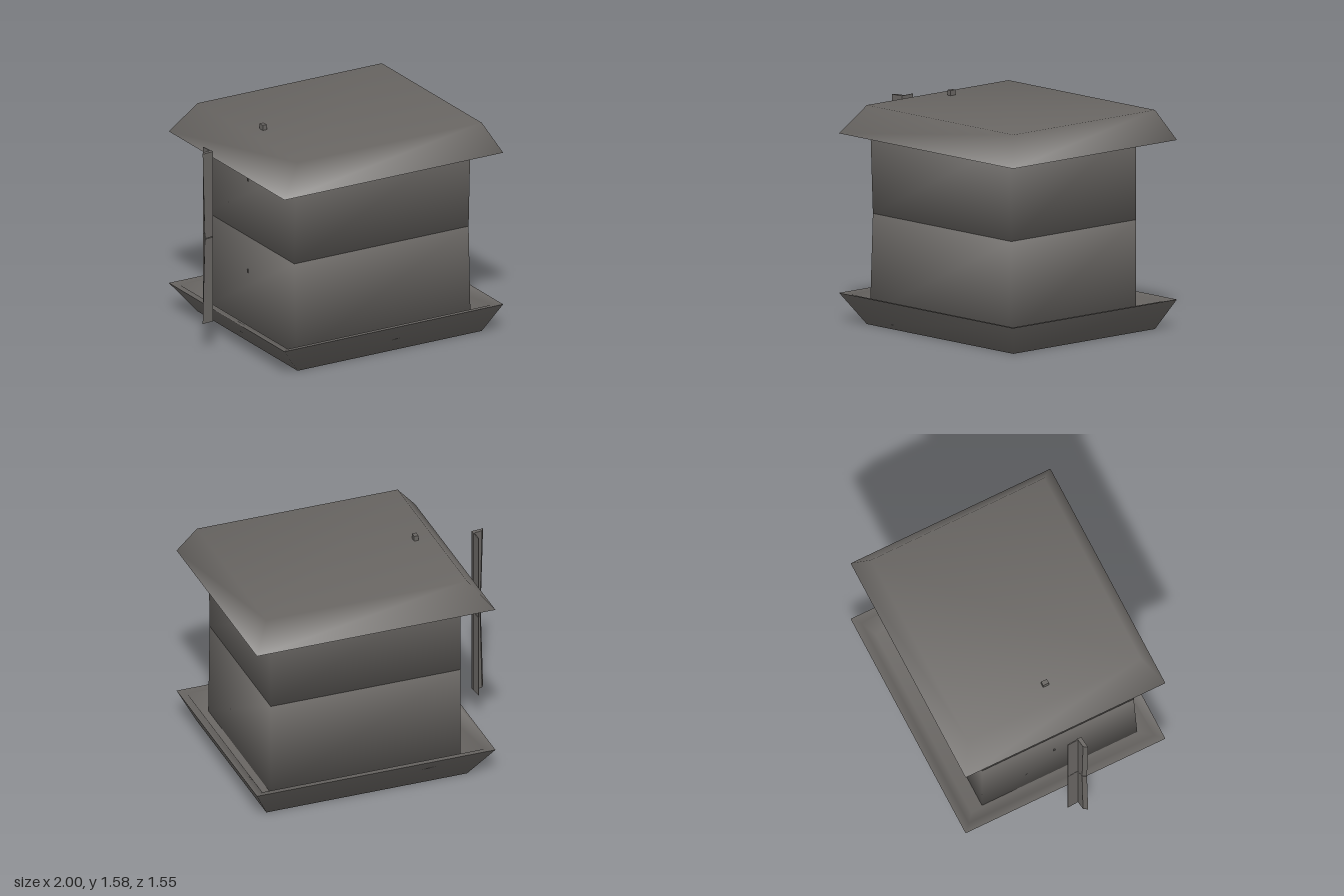
import * as THREE from 'three';

const darkGrey = new THREE.MeshStandardMaterial({ color: 0x686562 });
darkGrey.name = 'darkGrey';

// Skins equal-sized rings of points (counter-clockwise from above, stacked upwards).
function loft(rings, capStart, capEnd) {
  const n = rings[0].length, last = (rings.length - 1) * n, index = [];
  for (let r = 0; r < last; r += n) {
    for (let i = 0; i < n; i++) {
      const a = r + i, b = r + (i + 1) % n;
      index.push(a, b, b + n, a, b + n, a + n);
    }
  }
  for (let i = 1; i < n - 1; i++) {
    if (capStart) index.push(0, i + 1, i);
    if (capEnd) index.push(last, last + i, last + i + 1);
  }
  const geometry = new THREE.BufferGeometry();
  geometry.setAttribute('position', new THREE.Float32BufferAttribute(rings.flat(2), 3));
  geometry.setIndex(index);
  geometry.computeVertexNormals();
  return geometry;
}

// Rectangle at height y.
const rect = (y, x0, x1, z0, z1) => [[x0, y, z1], [x1, y, z1], [x1, y, z0], [x0, y, z0]];

// Section of [x, z] points at height y, shifted from the hinge line outwards by a scale.
const section = (y, points, scale) => points.map(([x, z]) => [-0.91 + (x + 0.91) * scale, y, z]);

export function createModel() {
  const model = new THREE.Group();
  const add = (name, geometry) => {
    const mesh = new THREE.Mesh(geometry, darkGrey);
    mesh.name = name;
    model.add(mesh);
    return mesh;
  };

  // Flared hollow tray and, mirrored in height, the hollow roof
  const foot = [-0.6, 0.89, -0.67, 0.67];
  const rim = [-0.77, 1, -0.775, 0.775];
  const lip = [-0.71, 0.94, -0.72, 0.72];
  const floor = [-0.61, 0.86, -0.65, 0.66];
  add('baseTray', loft([rect(0, ...foot), rect(0.21, ...rim)], true, false));
  add('trayLining', loft([rect(0.21, ...rim), rect(0.2, ...lip), rect(0.08, ...floor)], false, true));
  add('roof', loft([rect(1.335, ...rim), rect(1.545, ...foot)], false, true));
  add('roofLining', loft([rect(1.465, ...floor), rect(1.345, ...lip), rect(1.335, ...rim)], true, false));

  // Two stacked storeys whose front leans in towards the seam
  const wall = (y, front) => rect(y, -0.595, 0.815, -0.56, front);
  add('lowerBody', loft([wall(0.08, 0.645), wall(0.775, 0.618)], true, true));
  add('upperBody', loft([wall(0.775, 0.618), wall(1.465, 0.645)], true, true));

  // Upright bar beside the body: two lengths with an L-shaped section
  const blade = [[-1, 0.06], [-0.91, 0.05], [-0.91, 0.02], [-0.98, 0.03]];
  const fin = [[-0.919, 0.03], [-0.912, 0.03], [-0.918, -0.06], [-0.925, -0.06]];
  for (const [name, y0, y1, s0, s1] of [['lower', 0.225, 0.85, 1, 0.8], ['upper', 0.855, 1.485, 0.8, 1]]) {
    for (const [part, shape] of [['BarBlade', blade], ['BarFin', fin]]) {
      const k = part === 'BarFin' ? [1, 1] : [s0, s1];
      const geometry = loft([section(y0, shape, k[0]), section(y1, shape, k[1])], true, true).toNonIndexed();
      geometry.computeVertexNormals();
      add(name + part, geometry);
    }
  }

  // Small pegs on the wall facing the bar
  for (const y of [0.52, 1.2]) {
    add('wallPeg', new THREE.BoxGeometry(0.008, 0.025, 0.012)).position.set(-0.598, y, 0);
  }

  // Small stud on the roof
  add('roofStud', new THREE.BoxGeometry(0.032, 0.045, 0.045)).position.set(-0.47, 1.56, -0.008);
  return model;
}
